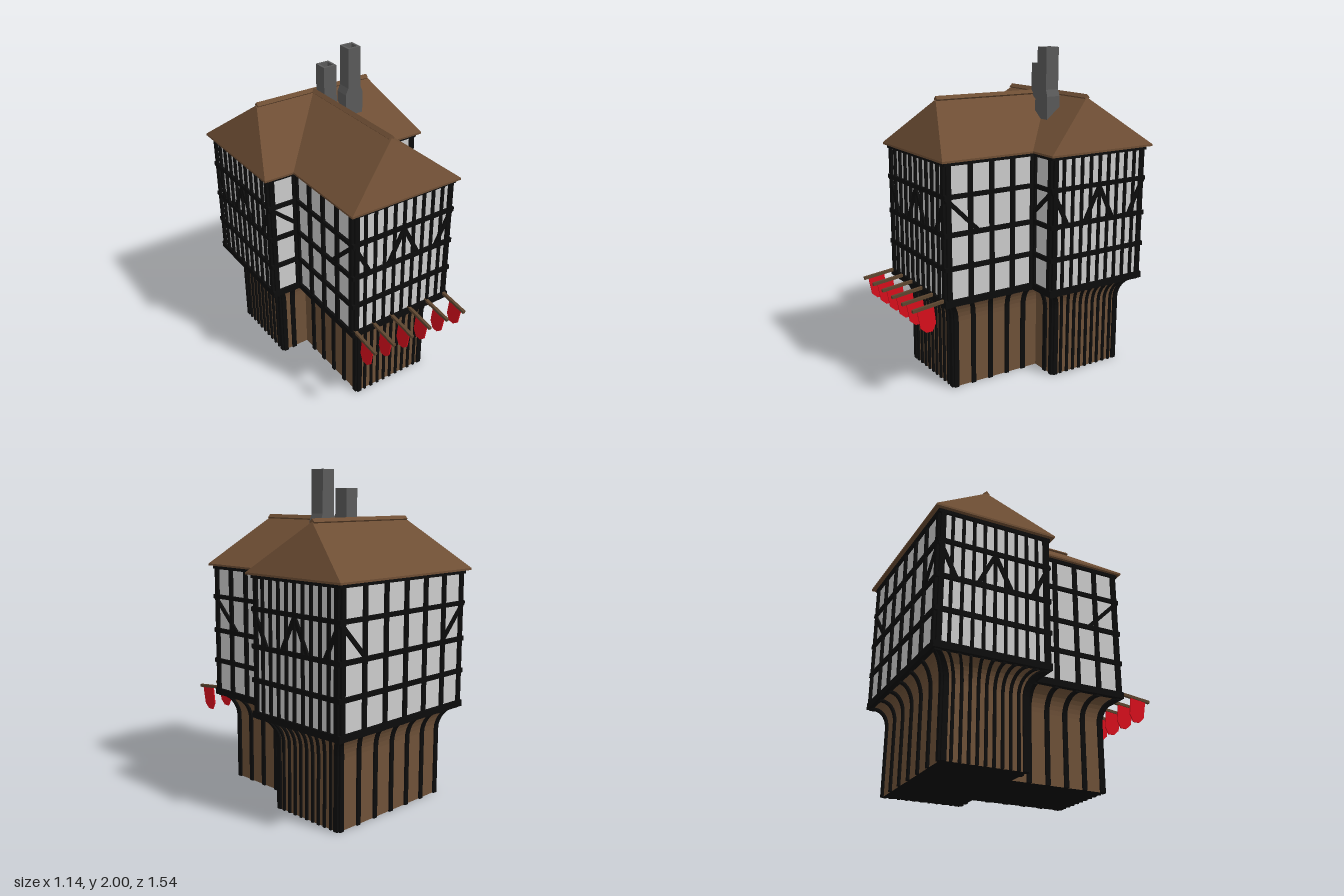
import * as THREE from 'three';

const mat = (color) => new THREE.MeshStandardMaterial({ color, flatShading: true });
const V = (x, y, z) => new THREE.Vector3(x, y, z);

const FLARE_LOW = 0.42, FLARE_TOP = 0.565, WALL_TOP = 1.415, INSET = 0.09;

// Surface through a stack of rings (counterclockwise from above, listed upwards)
function loft(rings, capped = false) {
  const pos = [];
  const tri = (...pts) => pts.forEach((p) => pos.push(p.x, p.y, p.z));
  const n = rings[0].length;
  for (let r = 0; r < rings.length - 1; r++) {
    for (let i = 0; i < n; i++) {
      const j = (i + 1) % n, a = rings[r], b = rings[r + 1];
      tri(a[i], a[j], b[j]);
      tri(a[i], b[j], b[i]);
    }
  }
  if (capped) {
    const a = rings[0], b = rings[rings.length - 1];
    for (let i = 1; i < n - 1; i++) {
      tri(a[0], a[i + 1], a[i]);
      tri(b[0], b[i], b[i + 1]);
    }
  }
  const g = new THREE.BufferGeometry();
  g.setAttribute('position', new THREE.Float32BufferAttribute(pos, 3));
  g.computeVertexNormals();
  return g;
}

const rect = (x0, x1, z0, z1, y) => [V(x0, y, z1), V(x1, y, z1), V(x1, y, z0), V(x0, y, z0)];

// Plan of the upper storeys: T shape; "lower" is the same plan drawn in
const plan = (d, y) => {
  const w = 0.53 - d, v = 0.345 - d, f = 0.55 - d, m = -0.05 - d, b = -0.73 + d;
  return [[-v, f], [v, f], [v, m], [w, m], [w, b], [-w, b], [-w, m], [-v, m]].map(([x, z]) => V(x, y, z));
};

// Lower wall profile: straight, then a cove sweeping out under the jetty
const profile = [{ d: INSET, y: 0, t: 0 }];
for (let i = 0; i <= 8; i++) {
  const t = (i / 8) * Math.PI / 2;
  profile.push({ d: INSET * Math.cos(t), y: FLARE_LOW + (FLARE_TOP - FLARE_LOW) * Math.sin(t), t });
}

export function createModel() {
  const model = new THREE.Group();
  const plaster = mat(0xcccccc), timber = mat(0x0c0c0c), boards = mat(0x6e5138);
  const tiles = mat(0x6e4e34), stone = mat(0x5a5a5a), red = mat(0xd80f1c), wood = mat(0x5c452f);
  red.side = THREE.DoubleSide;

  const add = (parent, name, geo, material, x = 0, y = 0, z = 0) => {
    const m = new THREE.Mesh(geo, material);
    m.name = name;
    m.position.set(x, y, z);
    parent.add(m);
    return m;
  };

  // Wall skins and base
  add(model, 'lowerWalls', loft(profile.map((p) => plan(p.d, p.y))), boards);
  add(model, 'upperWalls', loft([plan(0, FLARE_TOP), plan(0, WALL_TOP)]), plaster);
  const floorShape = new THREE.Shape(plan(INSET, 0).map((p) => new THREE.Vector2(p.x, p.z)));
  add(model, 'base', new THREE.ShapeGeometry(floorShape).rotateX(Math.PI / 2), timber);

  // Straight timber between two points of a wall
  const bar = (g, name, u0, y0, u1, y1, w, depth = 0.03) => {
    const m = add(g, name, new THREE.BoxGeometry(Math.hypot(u1 - u0, y1 - y0), w, depth), timber, (u0 + u1) / 2, (y0 + y1) / 2, 0);
    m.rotation.z = Math.atan2(y1 - y0, u1 - u0);
  };

  // Curved post following the lower wall profile, from u at the bottom to v at the top
  const curvedPost = (g, u, v, w) => {
    const rings = profile.map(({ d, y, t }) => {
      const x = v + (u - v) * d / INSET;
      const c = 0.012 * Math.cos(t), s = 0.012 * Math.sin(t);
      return [V(x - w / 2, y - s, c - d), V(x + w / 2, y - s, c - d), V(x + w / 2, y + s, -c - d), V(x - w / 2, y + s, -c - d)];
    });
    add(g, 'curvedPost', loft(rings, true), timber);
  };

  // Timber frame of each wall: panes, post width, braces [from fraction, to fraction]
  const fine = [[0, 0.15], [0.5, 0.35], [0.5, 0.65], [1, 0.85]];
  const walls = [
    { name: 'wingFront', panes: 10, w: 0.016, braces: fine },
    { name: 'wingLeft', panes: 4, w: 0.028, braces: [[0, 0.34]] },
    { name: 'blockFrontLeft', panes: 1, w: 0.028, braces: [[1, 0]] },
    { name: 'blockLeft', panes: 10, w: 0.016, braces: fine },
    { name: 'blockBack', panes: 6, w: 0.028, braces: [[0, 0.18], [1, 0.82]] },
    { name: 'blockRight', panes: 10, w: 0.016, braces: fine },
    { name: 'blockFrontRight', panes: 1, w: 0.028, braces: [[0, 1]] },
    { name: 'wingRight', panes: 4, w: 0.028, braces: [[1, 0.66]] },
  ];
  const corners = plan(0, 0);
  const isInner = (i) => i === 2 || i === 7;
  walls.forEach((wall, i) => {
    const j = (i + 1) % corners.length, a = corners[i], b = corners[j];
    const len = a.distanceTo(b);
    const g = new THREE.Group();
    g.name = wall.name + 'Frame';
    g.position.copy(a);
    g.rotation.y = Math.atan2(a.z - b.z, b.x - a.x);
    model.add(g);

    [[0.582, 0.04], [0.79, 0.028], [0.99, 0.028], [1.21, 0.026], [1.402, 0.03]].forEach(([y, w]) =>
      bar(g, 'rail', -0.015, y, len + 0.015, y, w, 0.032));

    const lowA = isInner(i) ? 0 : INSET, lowB = isInner(j) ? 0 : INSET;
    for (let k = 0; k <= wall.panes; k++) {
      const end = k === 0 || k === wall.panes;
      const w = end ? 0.03 : wall.w, f = k / wall.panes;
      const u = w / 2 + (len - w) * f;
      bar(g, 'post', u, FLARE_TOP, u, WALL_TOP, w);
      curvedPost(g, lowA + w / 2 + (len - w - lowA - lowB) * f, u, w);
    }
    wall.braces.forEach(([p, q]) => {
      const low = wall.panes === 1 ? 1.04 : 1.0;
      bar(g, 'brace', p * len, 1.2, q * len, low, 0.024, 0.026);
    });
  });

  // Roof: hipped main block with a hipped wing meeting it at the ridge
  const EAVE = 1.42, RIDGE = 1.71;
  add(model, 'blockRoof', loft([rect(-0.57, 0.57, -0.77, -0.015, EAVE), rect(-0.4, 0.4, -0.39, -0.385, RIDGE)], true), tiles);
  add(model, 'wingRoof', loft([rect(-0.38, 0.38, -0.015, 0.585, EAVE), rect(0, 0, -0.385, 0.415, RIDGE)]), tiles);
  add(model, 'blockEaves', new THREE.BoxGeometry(1.14, 0.012, 0.755), tiles, 0, EAVE - 0.006, -0.3925);
  add(model, 'wingEaves', new THREE.BoxGeometry(0.76, 0.012, 0.6), tiles, 0, EAVE - 0.006, 0.285);
  add(model, 'blockRidge', new THREE.BoxGeometry(0.8, 0.028, 0.028).rotateX(Math.PI / 4), tiles, 0, RIDGE, -0.387);
  add(model, 'wingRidge', new THREE.BoxGeometry(0.028, 0.028, 0.8).rotateZ(Math.PI / 4), tiles, 0, RIDGE, 0.015);

  // Chimneys with open tops
  const flue = (name, x, z, y0, y1) => {
    const square = (Type, r) => new Type([[-r, -r], [r, -r], [r, r], [-r, r]].map(([p, q]) => new THREE.Vector2(p, q)));
    const s = square(THREE.Shape, 0.045);
    s.holes.push(square(THREE.Path, 0.03));
    const geo = new THREE.ExtrudeGeometry(s, { depth: y1 - y0, bevelEnabled: false }).rotateX(-Math.PI / 2);
    add(model, name, geo, stone, x, y0, z);
    add(model, name + 'Core', new THREE.BoxGeometry(0.06, y1 - y0 - 0.06, 0.06), stone, x, (y0 + y1 - 0.06) / 2, z);
  };
  flue('shortChimney', 0.047, -0.31, 1.55, 1.895);
  flue('tallChimney', 0.185, -0.255, 1.6, 2);
  add(model, 'tallChimneyBase', loft([
    rect(0.122, 0.245, -0.301, -0.209, 1.5),
    rect(0.122, 0.245, -0.301, -0.209, 1.71),
    rect(0.14, 0.23, -0.3, -0.21, 1.75),
  ], true), stone);

  // Row of pennants on poles over the front
  const cloth = new THREE.Shape([[0.735, 0.57], [0.715, 0.465], [0.68, 0.434], [0.64, 0.434], [0.617, 0.48], [0.63, 0.587]]
    .map(([z, y]) => new THREE.Vector2(-z, y)));
  const clothGeo = new THREE.ExtrudeGeometry(cloth, { depth: 0.008, bevelEnabled: false }).rotateY(Math.PI / 2).translate(-0.004, 0, 0);
  for (let i = 0; i < 6; i++) {
    const g = new THREE.Group();
    g.name = 'pennant';
    g.position.x = -0.337 + i * 0.1335;
    const pole = add(g, 'pole', new THREE.BoxGeometry(0.018, 0.018, 0.23), wood, 0, 0.59, 0.65);
    pole.rotation.x = 0.11;
    add(g, 'cloth', clothGeo, red);
    model.add(g);
  }
  return model;
}
